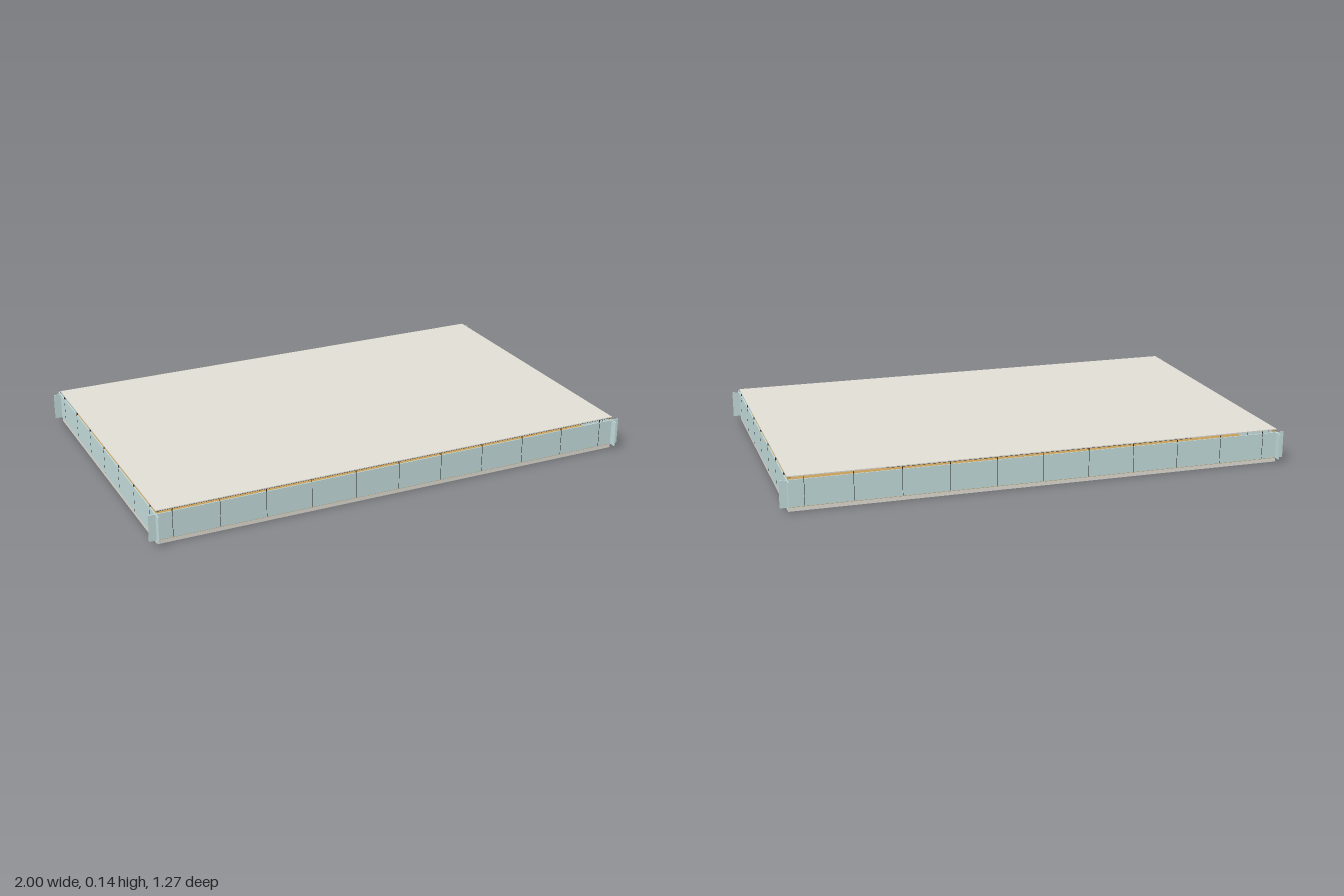
import * as THREE from 'three';

const material = (name, color) => {
  const m = new THREE.MeshStandardMaterial({ color });
  m.name = name;
  return m;
};

export function createModel() {
  const model = new THREE.Group();
  model.name = 'glassPavilion';
  const concrete = material('concrete', 0xe4e1d8);
  const glass = material('paleGlass', 0xc8e0e0);
  const metal = material('darkMetal', 0x2a2c2e);
  const wood = material('wood', 0xc8a05a);

  const box = (parent, name, mat, w, h, d, x, y, z) => {
    const mesh = new THREE.Mesh(new THREE.BoxGeometry(w, h, d), mat);
    mesh.name = name;
    mesh.position.set(x, y, z);
    parent.add(mesh);
  };

  const W = 1.94, D = 1.212, pitch = 2 / 11;

  // Floor slab, thin wooden floor and roof sheet
  box(model, 'floorSlab', concrete, W, 0.015, D, 0, 0.0075, 0);
  box(model, 'woodFloor', wood, W, 0.003, D, 0, 0.0165, 0);
  box(model, 'roof', concrete, W, 0.004, D, 0, 0.133, 0);

  // Wall of equal glass panes, each with a slim mullion on its centre line
  const addWall = (name, panes, x, z, turn) => {
    const wall = new THREE.Group();
    wall.name = name;
    for (let i = 0; i < panes; i++) {
      const px = (i - (panes - 1) / 2) * pitch;
      box(wall, 'glassPane', glass, pitch, 0.104, 0.004, px, 0.069, 0);
      box(wall, 'mullion', metal, 0.0016, 0.112, 0.0046, px, 0.074, 0);
    }
    // Slim rail under the roof edge
    const length = turn ? D : W;
    box(wall, 'topRail', metal, length, 0.0015, 0.004, 0, 0.13025, -0.003);
    wall.position.set(x, 0, z);
    wall.rotation.y = turn;
    model.add(wall);
  };
  addWall('frontWall', 11, 0, D / 2, 0);
  addWall('backWall', 11, 0, -D / 2, Math.PI);
  addWall('leftWall', 7, W / 2, 0, Math.PI / 2);
  addWall('rightWall', 7, -W / 2, 0, -Math.PI / 2);

  // Small wooden blocks carrying the roof corners
  for (const sx of [-1, 1]) {
    for (const sz of [-1, 1]) {
      box(model, 'cornerBlock', wood, 0.012, 0.006, 0.012, sx * (W / 2 - 0.01), 0.127, sz * (D / 2 - 0.01));
    }
  }
  return model;
}
